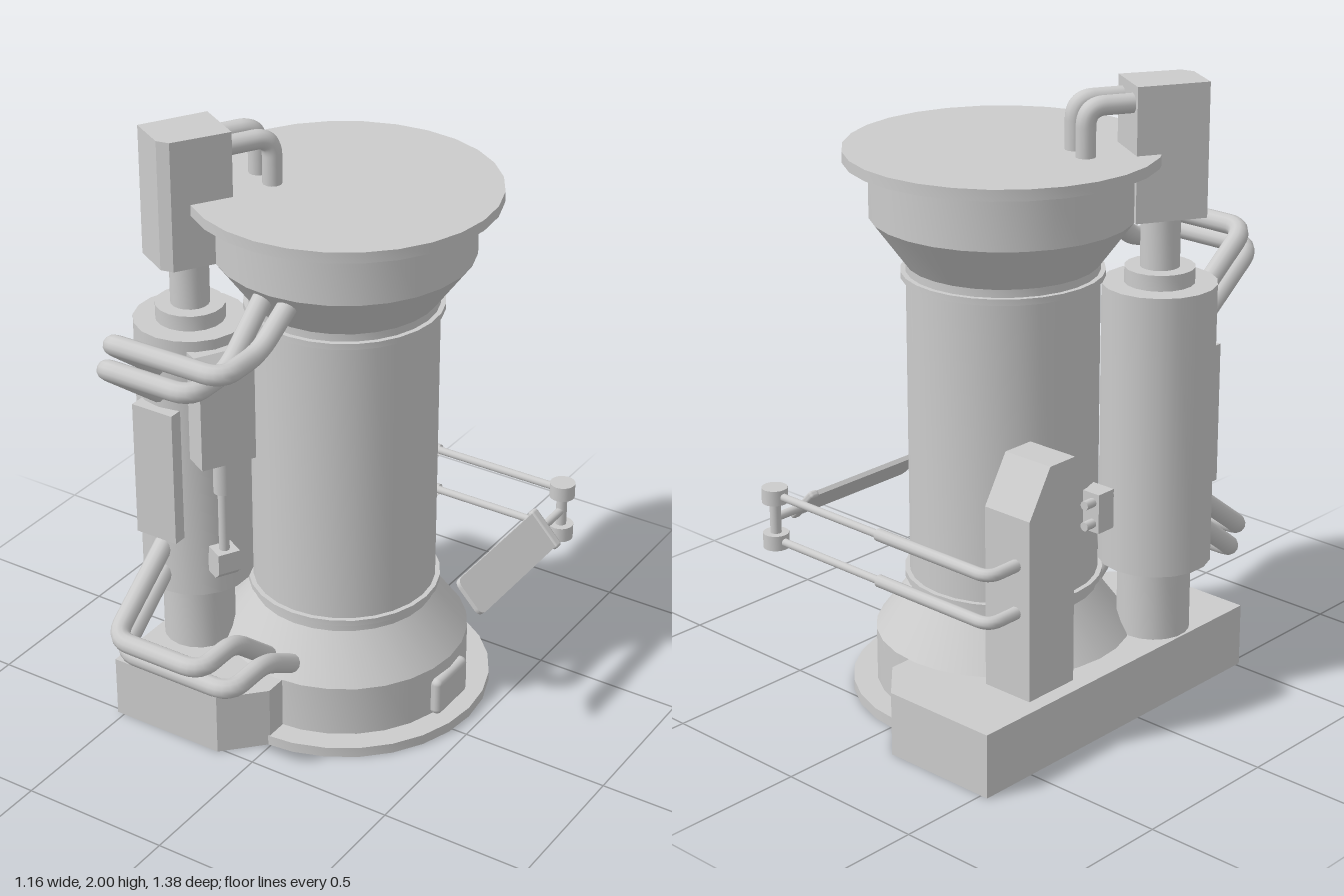
import * as THREE from 'three';
import { toCreasedNormals } from 'three/addons/utils/BufferGeometryUtils.js';
import { RoundedBoxGeometry } from 'three/addons/geometries/RoundedBoxGeometry.js';

const grey = new THREE.MeshStandardMaterial({ color: 0xcccccc, side: THREE.DoubleSide });
const V = (p) => new THREE.Vector3(...p);

function add(parent, name, geometry, position = [0, 0, 0]) {
  const mesh = new THREE.Mesh(geometry, grey);
  mesh.name = name;
  mesh.position.set(...position);
  parent.add(mesh);
  return mesh;
}

// Turned body from [radius, height] points
function turned(parent, name, profile, sides, x, z) {
  const points = profile.map((p) => new THREE.Vector2(...p));
  return add(parent, name, toCreasedNormals(new THREE.LatheGeometry(points, sides), 0.5), [x, 0, z]);
}

function polygon(points) {
  return new THREE.Shape(points.map((p) => new THREE.Vector2(...p)));
}

// Upright block from an [x, z] outline
function block(parent, name, outline, y0, y1) {
  const shape = polygon(outline.map(([x, z]) => [x, -z]));
  const g = new THREE.ExtrudeGeometry(shape, { depth: y1 - y0, bevelEnabled: false });
  return add(parent, name, g.rotateX(-Math.PI / 2), [0, y0, 0]);
}

// Pipe along a polyline whose corners are rounded
function pipe(parent, name, path, radius, bend = 0.06) {
  const pts = path.map(V);
  const curve = new THREE.CurvePath();
  let last = pts[0];
  for (let i = 1; i < pts.length - 1; i++) {
    const toward = (p) => p.clone().sub(pts[i]).setLength(Math.min(bend, p.distanceTo(pts[i]) * 0.48)).add(pts[i]);
    const a = toward(pts[i - 1]), b = toward(pts[i + 1]);
    curve.add(new THREE.LineCurve3(last, a));
    curve.add(new THREE.QuadraticBezierCurve3(a, pts[i], b));
    last = b;
  }
  curve.add(new THREE.LineCurve3(last, pts[pts.length - 1]));
  return add(parent, name, new THREE.TubeGeometry(curve, 64, radius, 12), [0, 0, 0]);
}

// Straight closed rod between two points
function rod(parent, name, from, to, radius, sides = 16) {
  const a = V(from), b = V(to);
  const mesh = add(parent, name, new THREE.CylinderGeometry(radius, radius, a.distanceTo(b), sides));
  mesh.position.copy(a).add(b).multiplyScalar(0.5);
  mesh.quaternion.setFromUnitVectors(new THREE.Vector3(0, 1, 0), b.sub(a).normalize());
  return mesh;
}

export function createModel() {
  const model = new THREE.Group();
  model.name = 'columnMachine';

  // Main column with flared ends and end flanges
  turned(model, 'mainColumn', [
    [0, 0], [0.487, 0], [0.487, 0.035], [0.41, 0.035], [0.41, 0.21], [0.3, 0.36],
    [0.3, 0.39], [0.316, 0.39], [0.316, 0.41], [0.3, 0.41],
    [0.3, 1.385], [0.316, 1.385], [0.316, 1.405], [0.3, 1.405],
    [0.3, 1.43], [0.41, 1.58], [0.41, 1.755], [0.487, 1.755], [0.487, 1.79], [0, 1.79],
  ], 28, -0.03, -0.09);
  add(model, 'baseHatch', new RoundedBoxGeometry(0.08, 0.135, 0.185, 2, 0.02), [0.36, 0.1, -0.085]);

  // Floor platform
  block(model, 'platform', [
    [-0.525, -0.695], [-0.125, -0.695], [-0.005, -0.57], [-0.005, 0.39], [-0.125, 0.515], [-0.525, 0.515],
  ], 0, 0.21);

  // Side cylinder, its stand and neck
  turned(model, 'sideCylinder', [
    [0, 0.2], [0.118, 0.2], [0.118, 0.455], [0.18, 0.455], [0.18, 1.37], [0.11, 1.37],
    [0.11, 1.42], [0.062, 1.42], [0.062, 1.6], [0, 1.6],
  ], 18, -0.4, 0.215);
  add(model, 'frontPanel', new THREE.BoxGeometry(0.15, 0.46, 0.08), [-0.405, 0.9, 0.385]);

  // Head box with its pair of drop pipes
  block(model, 'headBox', [
    [-0.41, 0.085], [-0.257, 0.176], [-0.362, 0.345], [-0.405, 0.353], [-0.523, 0.285],
  ], 1.58, 2);
  for (const [x, z] of [[-0.3, -0.02], [-0.217, 0.025]]) {
    pipe(model, 'headPipe', [[x - 0.11, 1.942, z + 0.198], [x, 1.942, z], [x, 1.76, z]], 0.031);
  }

  // Paired looping pipes, repeated upside down at the bottom
  for (const flip of [false, true]) {
    const h = (path) => path.map(([x, y, z]) => [x, flip ? 1.795 - y : y, z]);
    const level = flip ? 'lower' : 'upper';
    pipe(model, level + 'OuterPipe', h([
      [-0.41, 1.25, 0.36], [-0.41, 1.45, 0.62], [0.005, 1.45, 0.62], [0.005, 1.45, 0.43], [0.005, 1.55, 0.26],
    ]), 0.032);
    pipe(model, level + 'InnerPipe', h([
      [-0.41, 1.165, 0.37], [-0.41, 1.382, 0.655], [-0.083, 1.382, 0.655], [-0.083, 1.382, 0.47], [-0.083, 1.55, 0.27],
    ]), 0.032);
  }

  // Angled actuator on the side cylinder
  const actuator = new THREE.Group();
  actuator.name = 'actuator';
  actuator.position.set(-0.224, 0, 0.307);
  actuator.rotation.y = -0.508;
  model.add(actuator);
  const housing = new THREE.ExtrudeGeometry(polygon([
    [-0.045, 0.96], [0.045, 0.96], [0.045, 1.285], [0.005, 1.335], [-0.045, 1.335],
  ]), { depth: 0.185, bevelEnabled: false });
  add(actuator, 'actuatorHousing', housing, [0, 0, -0.0925]);
  rod(actuator, 'actuatorSleeve', [0.015, 0.85, 0.01], [0.015, 0.97, 0.01], 0.03);
  rod(actuator, 'actuatorRod', [0.015, 0.6, 0.01], [0.015, 0.86, 0.01], 0.017);
  const foot = new THREE.ExtrudeGeometry(polygon([
    [-0.07, 0.545], [0.025, 0.545], [0.05, 0.57], [0.05, 0.64], [-0.02, 0.64], [-0.02, 0.61], [-0.07, 0.61],
  ]), { depth: 0.075, bevelEnabled: false });
  add(actuator, 'actuatorFoot', foot, [0, 0, -0.0275]);

  // Rear tower with sloping top
  const tower = new THREE.ExtrudeGeometry(polygon([
    [-0.455, 0.2], [-0.255, 0.2], [-0.255, 0.95], [-0.365, 0.95], [-0.455, 0.8],
  ]), { depth: 0.18, bevelEnabled: false }).rotateY(-Math.PI / 2);
  add(model, 'rearTower', tower, [-0.295, 0, 0]);

  // Junction box between tower and side cylinder
  add(model, 'junctionBox', new THREE.BoxGeometry(0.09, 0.13, 0.07), [-0.345, 0.67, -0.01]);
  for (const y of [0.635, 0.705]) {
    rod(model, 'junctionPin', [-0.365, y, -0.085], [-0.365, y, 0.06], 0.015, 12);
  }

  // Swinging arm: two levels of bent sleeve and thin rod
  for (const y of [0.49, 0.645]) {
    pipe(model, 'armSleeve', [[-0.42, y, -0.44], [-0.42, y, -0.572], [0.045, y, -0.572]], 0.02, 0.045);
    rod(model, 'armRod', [0, y, -0.572], [0.51, y, -0.572], 0.013);
    rod(model, 'armJoint', [0.512, y - 0.025, -0.572], [0.512, y + 0.025, -0.572], 0.042, 20);
  }
  rod(model, 'armPivot', [0.512, 0.47, -0.572], [0.512, 0.66, -0.572], 0.018);
  rod(model, 'screenRod', [0.512, 0.565, -0.572], [0.512, 0.565, -0.43], 0.014);

  // Tilted flat screen with its end cap
  const screen = new THREE.Group();
  screen.name = 'screen';
  screen.position.set(0.523, 0.565, 0);
  screen.rotation.z = -0.81;
  model.add(screen);
  const plate = new THREE.Shape();
  plate.moveTo(-0.066, 0.43).lineTo(0.066, 0.43).lineTo(0.066, -0.03);
  plate.quadraticCurveTo(0.066, -0.055, 0.04, -0.055).lineTo(-0.04, -0.055);
  plate.quadraticCurveTo(-0.066, -0.055, -0.066, -0.03);
  const plateGeometry = new THREE.ExtrudeGeometry(plate, { depth: 0.016, bevelEnabled: false });
  add(screen, 'screenPlate', plateGeometry.rotateX(-Math.PI / 2), [0, -0.008, 0]);
  add(screen, 'screenCap', new RoundedBoxGeometry(0.148, 0.026, 0.036, 2, 0.01), [0, 0, -0.437]);

  return model;
}
